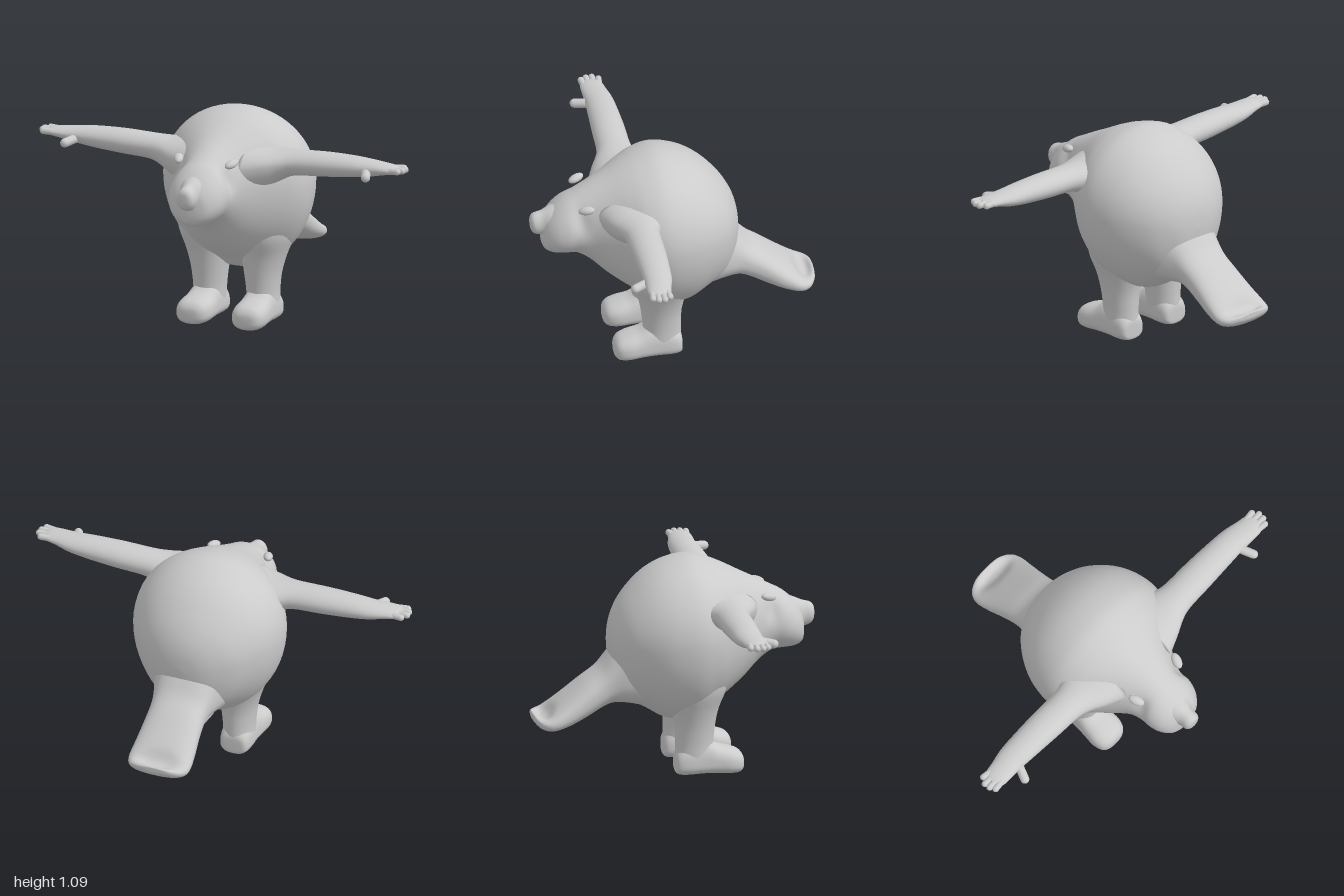
import * as THREE from 'three';

const material = new THREE.MeshStandardMaterial({ color: 0xcccccc, side: THREE.DoubleSide });

// Axis layouts: t runs along the part, u and v span its cross-section
const alongZ = (t, u, v) => [u, v, t];
const alongX = (t, u, v) => [t, v, u];
const alongY = (t, u, v) => [u, t, v];

const spline = (a, b, c, d, f) =>
  0.5 * (2 * b + (c - a) * f + (2 * a - 5 * b + 4 * c - d) * f * f + (3 * b - a - 3 * c + d) * f * f * f);

// Smooth closed skin through sections [t, uCentre, uHalf, vLow, vMid, vHigh]
function loft(name, place, sections, { sides = 48, steps = 5, power = 1, warp } = {}) {
  const rings = [];
  const at = i => sections[Math.max(0, Math.min(sections.length - 1, i))];
  for (let i = 0; i < sections.length - 1; i++) {
    for (let s = 0; s < steps; s++) {
      rings.push(at(i).map((b, k) => spline(at(i - 1)[k], b, at(i + 1)[k], at(i + 2)[k], s / steps)));
    }
  }
  rings.push(at(sections.length - 1));

  const pos = [], index = [];
  const round = x => Math.sign(x) * Math.abs(x) ** power;
  for (const [t, uc, uh, lo, mid, hi] of rings) {
    for (let j = 0; j < sides; j++) {
      const a = (j / sides) * Math.PI * 2, s = round(Math.sin(a));
      pos.push(...place(t, uc + uh * round(Math.cos(a)), mid + s * (s > 0 ? hi - mid : mid - lo)));
    }
  }
  for (let i = 0; i < rings.length - 1; i++) {
    for (let j = 0; j < sides; j++) {
      const a = i * sides + j, b = i * sides + (j + 1) % sides;
      index.push(a, b, a + sides, b, b + sides, a + sides);
    }
  }
  // End caps
  const first = pos.length / 3, lastRing = (rings.length - 1) * sides;
  for (const r of [rings[0], rings[rings.length - 1]]) pos.push(...place(r[0], r[1], r[4]));
  for (let j = 0; j < sides; j++) {
    const k = (j + 1) % sides;
    index.push(first, k, j, first + 1, lastRing + j, lastRing + k);
  }
  // Keep faces outward whichever axis layout is used
  const [ax, ay, az] = place(1, 0, 0), [bx, by, bz] = place(0, 1, 0), [cx, cy, cz] = place(0, 0, 1);
  const hand = ax * (by * cz - bz * cy) - ay * (bx * cz - bz * cx) + az * (bx * cy - by * cx);
  const rising = Math.sign(sections[sections.length - 1][0] - sections[0][0]);
  if (hand * rising < 0) {
    for (let i = 0; i < index.length; i += 3) [index[i], index[i + 1]] = [index[i + 1], index[i]];
  }
  const geometry = new THREE.BufferGeometry();
  geometry.setAttribute('position', new THREE.Float32BufferAttribute(pos, 3));
  geometry.setIndex(index);
  if (warp) {
    const p = geometry.attributes.position, v = new THREE.Vector3();
    for (let i = 0; i < p.count; i++) {
      warp(v.fromBufferAttribute(p, i));
      p.setXYZ(i, v.x, v.y, v.z);
    }
  }
  geometry.computeVertexNormals();
  const mesh = new THREE.Mesh(geometry, material);
  mesh.name = name;
  return mesh;
}

function blob(name, [x, y, z], [rx, ry, rz]) {
  const mesh = new THREE.Mesh(new THREE.SphereGeometry(1, 24, 16), material);
  mesh.name = name;
  mesh.position.set(x, y, z);
  mesh.scale.set(rx, ry, rz);
  return mesh;
}

// Finger from a to b with rounded ends
function digit(name, a, b, r) {
  const from = new THREE.Vector3(...a), to = new THREE.Vector3(...b), dir = to.clone().sub(from);
  const mesh = new THREE.Mesh(new THREE.CapsuleGeometry(r, dir.length(), 6, 14), material);
  mesh.name = name;
  mesh.position.copy(from).add(to).multiplyScalar(0.5);
  mesh.quaternion.setFromUnitVectors(new THREE.Vector3(0, 1, 0), dir.normalize());
  return mesh;
}

// Eye hollows pressed into both sides of the head
function eyeHollows(v) {
  const d = ((v.y - 0.82) / 0.06) ** 2 + ((v.z - 0.475) / 0.035) ** 2;
  v.x -= Math.sign(v.x) * 0.02 * Math.exp(-d) * Math.min(1, Math.abs(v.x) / 0.08);
}

// Shallow scoop in the upper face of the tail tip
function tailScoop(v) {
  const d = (v.x / 0.1) ** 2 + ((v.z + 0.655) / 0.04) ** 2;
  if (v.y > 0.29) v.y -= 0.025 * Math.exp(-d * d);
}

function createSide(s) {
  const side = new THREE.Group();
  const X = (t, u, v) => alongX(s * t, u, v);
  const Y = (t, u, v) => alongY(t, s * u, v);
  const Z = (t, u, v) => alongZ(t, s * u, v);

  side.add(loft('arm', X, [
    [0.15, 0.21, 0.19, 0.68, 0.84, 0.95],
    [0.26, 0.215, 0.14, 0.74, 0.86, 0.935],
    [0.33, 0.217, 0.105, 0.785, 0.87, 0.935],
    [0.4, 0.217, 0.087, 0.81, 0.876, 0.938],
    [0.55, 0.215, 0.083, 0.82, 0.882, 0.943],
    [0.7, 0.215, 0.076, 0.833, 0.887, 0.94],
    [0.8, 0.217, 0.07, 0.848, 0.89, 0.932],
    [0.88, 0.227, 0.062, 0.866, 0.895, 0.925],
    [0.93, 0.231, 0.055, 0.876, 0.897, 0.919],
    [0.955, 0.232, 0.03, 0.885, 0.9, 0.912],
  ], { sides: 32 }));
  [[0.187, 0.965], [0.217, 0.985], [0.247, 0.983], [0.274, 0.968]].forEach(([z, tip]) =>
    side.add(digit('finger', [s * 0.89, 0.897, 0.232 + (z - 0.232) * 0.8], [s * tip, 0.9, z], 0.0165)));
  side.add(digit('thumb', [s * 0.79, 0.88, 0.26], [s * 0.822, 0.868, 0.335], 0.023));

  side.add(loft('leg', Y, [
    [0.56, 0.17, 0.15, -0.11, 0.06, 0.24],
    [0.45, 0.162, 0.14, -0.08, 0.065, 0.235],
    [0.35, 0.15, 0.115, -0.045, 0.075, 0.2],
    [0.26, 0.145, 0.095, -0.025, 0.08, 0.182],
    [0.17, 0.145, 0.083, -0.02, 0.08, 0.172],
    [0.1, 0.146, 0.08, -0.02, 0.08, 0.17],
    [0.03, 0.148, 0.075, -0.015, 0.08, 0.16],
  ], { sides: 36 }));
  side.add(loft('foot', Z, [
    [-0.022, 0.147, 0.03, 0.03, 0.055, 0.08],
    [-0.015, 0.147, 0.065, 0.01, 0.055, 0.12],
    [0.03, 0.147, 0.08, 0.003, 0.06, 0.16],
    [0.12, 0.147, 0.083, 0.006, 0.06, 0.185],
    [0.19, 0.148, 0.089, 0.005, 0.06, 0.15],
    [0.25, 0.15, 0.092, 0.001, 0.058, 0.132],
    [0.295, 0.152, 0.078, 0.003, 0.056, 0.115],
    [0.317, 0.153, 0.05, 0.018, 0.055, 0.09],
    [0.322, 0.153, 0.012, 0.045, 0.055, 0.065],
  ], { sides: 36, power: 0.8 }));

  const brow = blob('brow', [s * 0.145, 0.893, 0.455], [0.024, 0.02, 0.042]);
  brow.rotation.set(0.25, -s * 0.35, 0);
  side.add(brow);
  side.name = s > 0 ? 'leftLimbs' : 'rightLimbs';
  return side;
}

export function createModel() {
  const model = new THREE.Group();
  model.name = 'animal';

  // Round body narrowing forward into neck, head and muzzle
  model.add(loft('bodyAndHead', alongZ, [
    [-0.33, 0, 0.01, 0.65, 0.66, 0.67],
    [-0.322, 0, 0.09, 0.56, 0.66, 0.75],
    [-0.295, 0, 0.165, 0.46, 0.68, 0.83],
    [-0.24, 0, 0.25, 0.38, 0.695, 0.915],
    [-0.15, 0, 0.325, 0.325, 0.71, 1.005],
    [-0.05, 0, 0.372, 0.27, 0.715, 1.063],
    [0.07, 0, 0.39, 0.265, 0.72, 1.09],
    [0.17, 0, 0.36, 0.33, 0.73, 1.07],
    [0.25, 0, 0.3, 0.38, 0.735, 1.038],
    [0.34, 0, 0.225, 0.45, 0.735, 0.992],
    [0.42, 0, 0.172, 0.53, 0.74, 0.952],
    [0.49, 0, 0.155, 0.58, 0.74, 0.915],
    [0.55, 0, 0.15, 0.588, 0.725, 0.882],
    [0.6, 0, 0.132, 0.592, 0.71, 0.84],
    [0.64, 0, 0.095, 0.606, 0.69, 0.79],
    [0.656, 0, 0.05, 0.63, 0.68, 0.74],
    [0.66, 0, 0.01, 0.66, 0.675, 0.69],
  ], { sides: 64, steps: 6, warp: eyeHollows }));

  // Snout tip
  model.add(loft('nose', alongZ, [
    [0.54, 0, 0.1, 0.68, 0.76, 0.865],
    [0.61, 0, 0.075, 0.68, 0.755, 0.84],
    [0.655, 0, 0.05, 0.685, 0.75, 0.82],
    [0.695, 0, 0.045, 0.698, 0.752, 0.808],
    [0.712, 0, 0.028, 0.722, 0.757, 0.79],
    [0.715, 0, 0.005, 0.752, 0.758, 0.765],
  ], { sides: 32 }));

  // Broad paddle tail
  model.add(loft('tail', alongZ, [
    [-0.12, 0, 0.22, 0.33, 0.52, 0.8],
    [-0.24, 0, 0.185, 0.36, 0.5, 0.72],
    [-0.32, 0, 0.155, 0.365, 0.475, 0.62],
    [-0.38, 0, 0.145, 0.342, 0.44, 0.545],
    [-0.46, 0, 0.148, 0.297, 0.39, 0.485],
    [-0.55, 0, 0.158, 0.26, 0.33, 0.412],
    [-0.63, 0, 0.162, 0.244, 0.295, 0.348],
    [-0.68, 0, 0.14, 0.255, 0.292, 0.325],
    [-0.708, 0, 0.09, 0.279, 0.302, 0.323],
    [-0.715, 0, 0.04, 0.295, 0.308, 0.318],
  ], { sides: 48, power: 0.85, warp: tailScoop }));

  model.add(createSide(1), createSide(-1));
  return model;
}
